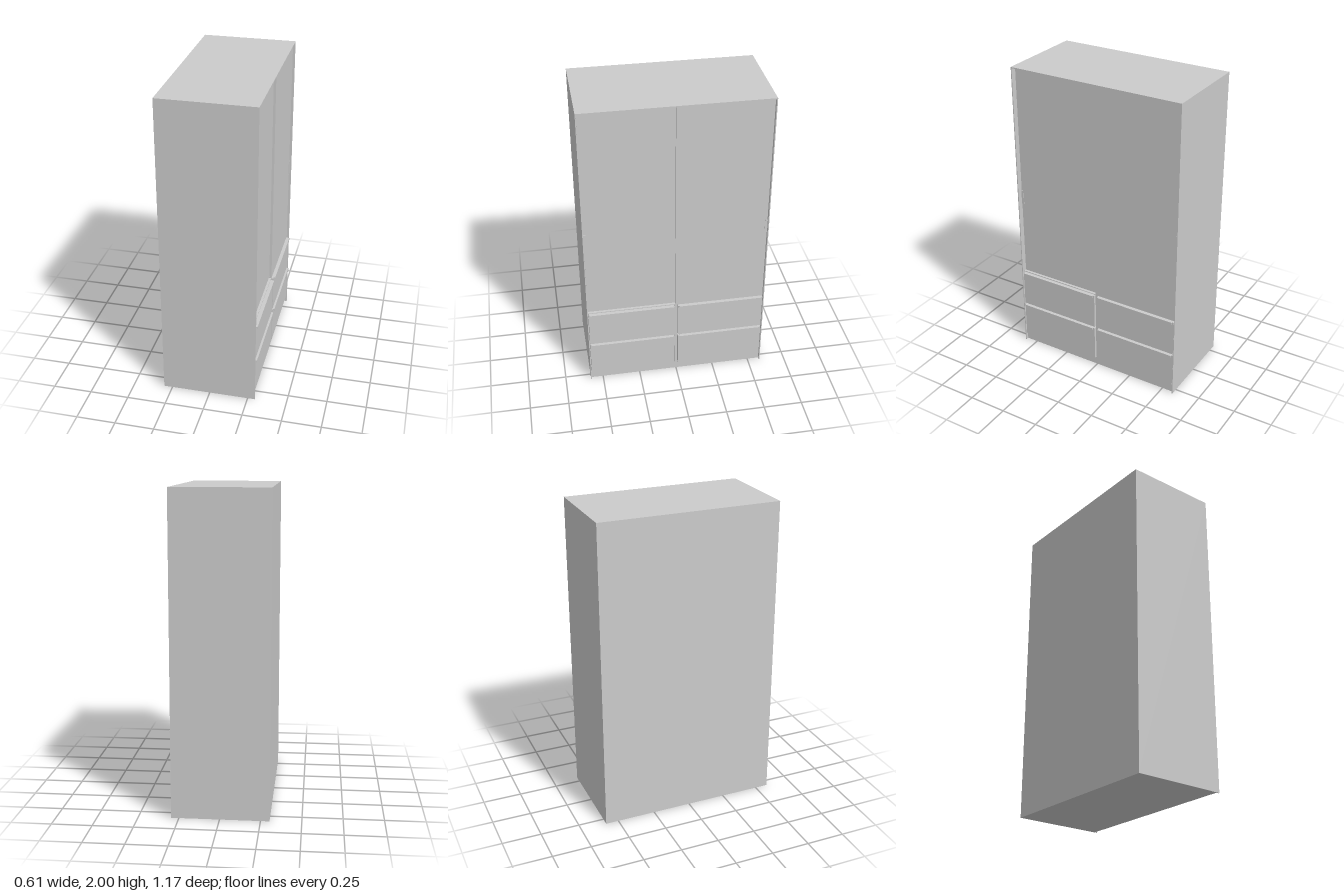
import * as THREE from 'three';

const material = new THREE.MeshStandardMaterial({ color: 0xcccccc });

export function createModel() {
  const group = new THREE.Group();

  // Adds a box given its minimum and maximum on each axis
  function box(name, x0, x1, y0, y1, z0, z1) {
    const mesh = new THREE.Mesh(new THREE.BoxGeometry(x1 - x0, y1 - y0, z1 - z0), material);
    mesh.position.set((x0 + x1) / 2, (y0 + y1) / 2, (z0 + z1) / 2);
    mesh.name = name;
    group.add(mesh);
  }

  const back = -0.305, front = 0.298, half = 0.583, inner = 0.577;

  // Carcass: thin outer panels around a recessed core
  box('carcassCore', back, 0.25, 0, 1.993, -inner, inner);
  box('topPanel', back, front, 1.993, 2, -half, half);
  for (const s of [-1, 1]) {
    box('sidePanel', back, front, 0, 1.993, Math.min(s * inner, s * half), Math.max(s * inner, s * half));
  }
  box('plinth', 0.25, 0.28, 0, 0.05, -inner, inner);
  box('centreDivider', 0.25, 0.28, 0.05, 0.55, -0.008, 0.008);
  box('shelf', 0.25, 0.28, 0.549, 0.554, -inner, inner);

  // Sliding doors on two tracks, the one at -z running in front
  box('rearDoor', 0.25, 0.265, 0.556, 1.988, -0.01, 0.575);
  box('frontDoor', 0.268, 0.283, 0.556, 1.993, -0.575, 0.006);
  box('rearDoorPull', 0.265, 0.268, 1.06, 1.155, 0.56, 0.576);
  box('frontDoorPull', 0.283, 0.286, 1.06, 1.155, -0.576, -0.56);

  // Four drawers, each with a hooked lip handle along its top edge
  for (const s of [-1, 1]) {
    for (const y of [0.052, 0.305]) {
      const top = y + 0.241;
      const z0 = s > 0 ? 0.011 : -0.574;
      const z1 = s > 0 ? 0.574 : -0.011;
      box('drawerFront', 0.25, 0.293, y, top, z0, z1);
      box('handleTop', 0.285, 0.304, top, top + 0.003, z0 + 0.009, z1 - 0.009);
      box('handleLip', 0.301, 0.304, top - 0.012, top, z0 + 0.009, z1 - 0.009);
    }
  }
  return group;
}
